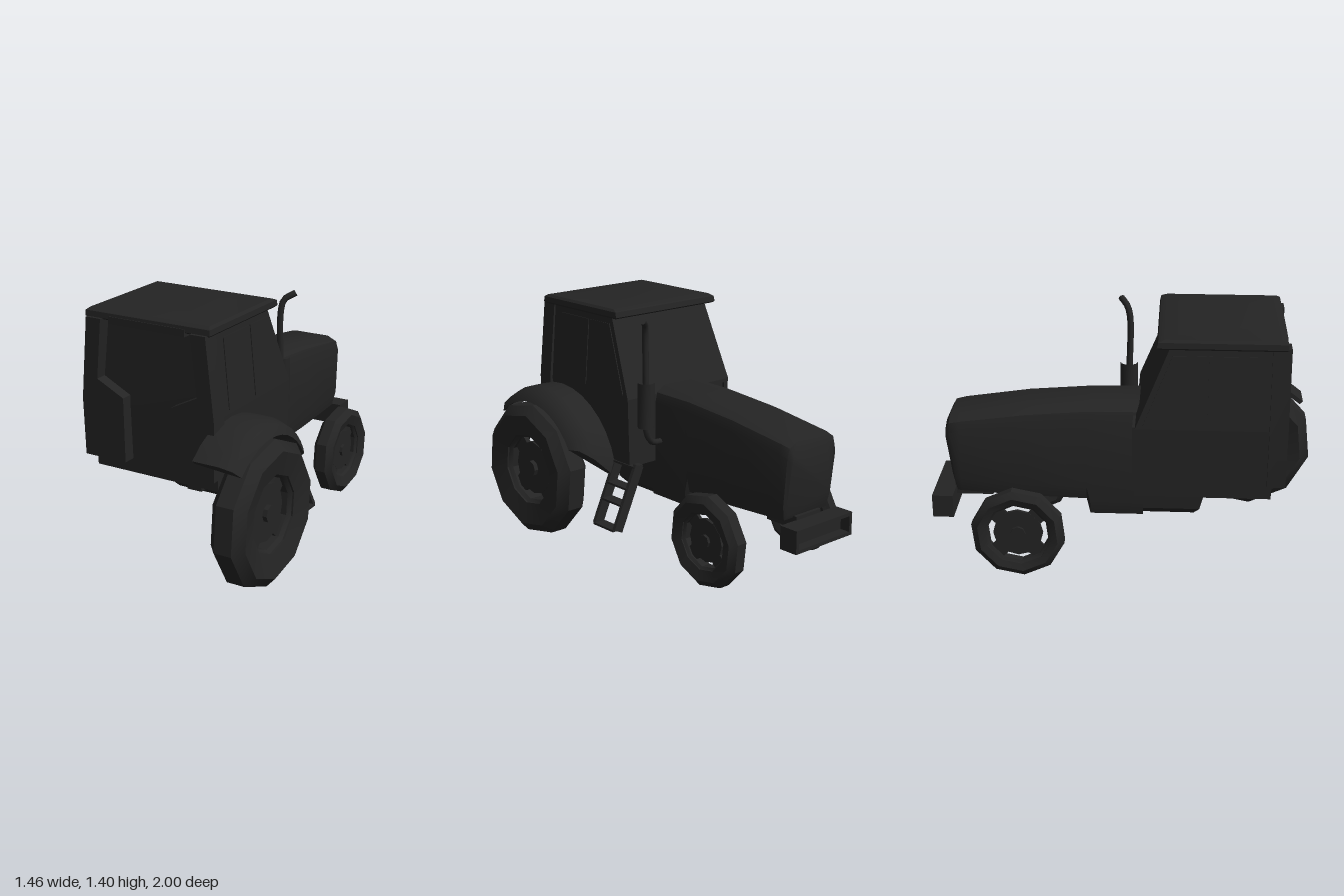
import * as THREE from 'three';
import { toCreasedNormals } from 'three/addons/utils/BufferGeometryUtils.js';

const paint = new THREE.MeshStandardMaterial({ color: 0x242424 });
paint.name = 'charcoal';
const MID = -0.167; // centre line of the tractor

function add(parent, name, geometry, x = 0, y = 0, z = 0, crease = 0.5) {
  const mesh = new THREE.Mesh(toCreasedNormals(geometry, crease), paint);
  mesh.name = name;
  mesh.position.set(x, y, z);
  parent.add(mesh);
  return mesh;
}

// box given by its limits
function block(parent, name, x0, x1, y0, y1, z0, z1) {
  return add(parent, name, new THREE.BoxGeometry(x1 - x0, y1 - y0, z1 - z0),
    (x0 + x1) / 2, (y0 + y1) / 2, (z0 + z1) / 2);
}

// skin over equal-length rings, with both ends closed
function loft(rings) {
  const n = rings[0].length, idx = [];
  for (let r = 0; r < rings.length - 1; r++) {
    for (let i = 0; i < n; i++) {
      const a = r * n + i, b = r * n + (i + 1) % n;
      idx.push(a, b, b + n, a, b + n, a + n);
    }
  }
  const e = (rings.length - 1) * n;
  for (let i = 1; i < n - 1; i++) idx.push(0, i + 1, i, e, e + i, e + i + 1);
  const g = new THREE.BufferGeometry();
  g.setAttribute('position', new THREE.Float32BufferAttribute(rings.flat(2), 3));
  g.setIndex(idx);
  return g;
}

// rectangular levels centred on the cab: [y, half width, front z, rear z]
const levels = list => loft(list.map(([y, w, f, r]) => [
  [MID - w, y, r], [MID + w, y, r], [MID + w, y, f], [MID - w, y, f]]));

function extrude(points, depth) {
  const shape = new THREE.Shape(points.map(p => new THREE.Vector2(p[0], p[1])));
  return new THREE.ExtrudeGeometry(shape, { depth, bevelEnabled: false });
}

function bar(parent, name, a, b, w, d) {
  const p = new THREE.Vector3(...a), q = new THREE.Vector3(...b);
  const m = add(parent, name, new THREE.BoxGeometry(w, p.distanceTo(q), d));
  m.position.copy(p).lerp(q, 0.5);
  m.quaternion.setFromUnitVectors(new THREE.Vector3(0, 1, 0), q.sub(p).normalize());
}

// faceted tyre, open rim, spokes and hub; side = direction of the outer face
function wheel(parent, name, R, ri, h, x, y, z, side) {
  const g = new THREE.Group();
  g.name = name;
  const lathe = pts => new THREE.LatheGeometry(
    pts.map(p => new THREE.Vector2(p[0], p[1])), 10, 0.2).rotateZ(-Math.PI / 2);
  add(g, 'tyre', lathe([[ri, -h * 0.7], [R * 0.86, -h], [R, -h * 0.5], [R, h * 0.5],
    [R * 0.86, h], [ri, h * 0.7], [ri, -h * 0.7]]));
  add(g, 'rim', lathe([[ri * 0.92, -h * 0.4], [ri, -h * 0.6], [ri, h * 0.6],
    [ri * 0.92, h * 0.4], [ri * 0.92, -h * 0.4]]));
  const disc = (r, l, n, off, label) => add(g, label,
    new THREE.CylinderGeometry(r, r, l, n).rotateZ(Math.PI / 2), side * off);
  disc(ri * 0.74, h * 0.35, 12, h * 0.1, 'wheelDisc');
  disc(ri * 0.22, h * 0.3, 8, h * 0.38, 'hub');
  for (let i = 0; i < 4; i++) {
    const a = Math.PI / 4 + i * Math.PI / 2;
    const s = add(g, 'spoke', new THREE.BoxGeometry(h * 0.3, ri * 0.35, ri * 0.5),
      side * h * 0.1, Math.cos(a) * ri * 0.8, Math.sin(a) * ri * 0.8);
    s.rotation.x = a;
  }
  g.position.set(x, y, z);
  parent.add(g);
}

export function createModel() {
  const model = new THREE.Group();
  model.name = 'tractor';
  const body = new THREE.Group();
  body.name = 'body';
  body.rotation.y = 0.227;
  model.add(body);

  // bonnet: [z, half width, bottom, shoulder, top, rearward slant of the bottom]
  const hood = [[0.14, 0.192, 0.29, 0.85, 0.937, 0], [-0.15, 0.193, 0.29, 0.85, 0.932, 0],
    [-0.17, 0.193, 0.38, 0.85, 0.931, 0], [-0.5, 0.193, 0.39, 0.82, 0.905, 0],
    [-0.86, 0.19, 0.41, 0.775, 0.853, 0], [-0.915, 0.182, 0.41, 0.76, 0.84, 0.03],
    [-0.935, 0.165, 0.43, 0.73, 0.805, 0.04]];
  add(body, 'bonnet', loft(hood.map(([z, w, b, s, t, d]) => [
    [-w * 0.9, b, d], [w * 0.9, b, d], [w, b + 0.08, d * 0.7], [w, s, 0], [w * 0.92, s + (t - s) * 0.65, 0],
    [w * 0.6, t, 0], [-w * 0.6, t, 0], [-w * 0.92, s + (t - s) * 0.65, 0], [-w, s, 0], [-w, b + 0.08, d * 0.7],
  ].map(([x, y, dz]) => [MID - 0.008 + x, y, z + dz]).reverse())), 0, 0, 0, 0.7);

  // front weight: shallow tray open to the front, with its bracket
  block(body, 'frontWeightBack', -0.4, 0.035, 0.27, 0.4, -0.96, -0.905);
  for (const y of [0.27, 0.38]) block(body, 'frontWeightFlange', -0.4, 0.035, y, y + 0.02, -1.02, -0.96);
  for (const x of [-0.4, 0.015]) block(body, 'frontWeightEnd', x, x + 0.02, 0.29, 0.38, -1.02, -0.96);
  block(body, 'frontBracket', -0.27, -0.08, 0.35, 0.42, -0.91, -0.7);

  // chassis tapering towards the belly, and hitch
  add(body, 'chassis', levels([[0.28, 0.13, 0.1, 0.42], [0.32, 0.165, 0.1, 0.45], [0.52, 0.18, 0.1, 0.5]]));
  block(body, 'hitch', -0.17, -0.08, 0.33, 0.42, 0.42, 0.53);

  // cab and gently domed roof
  add(body, 'cab', levels([[0.505, 0.378, 0.1, 0.82], [0.9, 0.388, 0.1, 0.83],
    [1.35, 0.35, 0.28, 0.82]]), 0, 0, 0, 0.1);
  add(body, 'roof', levels([[1.335, 0.365, 0.225, 0.86], [1.345, 0.376, 0.208, 0.875],
    [1.375, 0.374, 0.215, 0.872], [1.388, 0.36, 0.25, 0.85], [1.398, 0.2, 0.4, 0.7]]));
  block(body, 'rearLampBar', MID - 0.23, MID + 0.23, 1.32, 1.36, 0.8, 0.878);

  // stepped rear corner panels
  const panel = [[0.4, 0.585], [0.405, 0.9], [0.36, 1.345], [0.27, 1.345],
    [0.305, 1.02], [0.145, 0.94], [0.145, 0.585]];
  for (const s of [-1, 1]) {
    add(body, 'rearCornerPanel', extrude(panel.map(([x, y]) => [MID + s * x, y]), 0.097), 0, 0, 0.795);

    // door glass and rear quarter glass, leaning with the cab side
    const panes = [[[-0.14, 0.02], [-0.29, 0.4], [-0.46, 0.4], [-0.46, 0.02]],
      [[-0.475, 0.02], [-0.475, 0.4], [-0.72, 0.4], [-0.72, 0.02]]];
    for (const p of panes) {
      const g = extrude(p, 0.008).rotateY(Math.PI / 2).translate(-0.004, 0, 0);
      add(body, 'sideWindow', g, MID + s * 0.389, 0.9, 0).rotation.z = s * 0.084;
    }
  }

  // frame on the cab front beside the bonnet
  for (const x of [-0.53, -0.4]) block(body, 'frontFramePost', x, x + 0.02, 0.53, 0.9, 0.085, 0.105);
  for (const y of [0.53, 0.88]) block(body, 'frontFrameRail', -0.53, -0.38, y, y + 0.02, 0.085, 0.105);

  // rounded mudguard over the rear wheel: [x, radius], front edge cut back outwards
  const guard = [[0.2, 0.485], [0.35, 0.485], [0.42, 0.46], [0.452, 0.41],
    [0.44, 0.41], [0.405, 0.44], [0.34, 0.46], [0.2, 0.46]].reverse();
  const arch = [];
  for (let i = 0; i <= 12; i++) {
    arch.push(guard.map(([x, r]) => {
      const a0 = 0.02 + (x - 0.2) * 2, a = a0 + (2.32 - a0) * i / 12;
      return [x, 0.395 + Math.sin(a) * r, 0.705 - Math.cos(a) * r];
    }));
  }
  add(body, 'mudguard', loft(arch), 0, 0, 0, 0.7);

  // wheels
  wheel(body, 'rearWheel', 0.398, 0.215, 0.1, 0.41, 0.4, 0.715, 1);
  wheel(body, 'frontRightWheel', 0.262, 0.165, 0.062, 0.215, 0.262, -0.55, 1);
  wheel(body, 'frontLeftWheel', 0.257, 0.183, 0.048, -0.53, 0.262, -0.53, -1);

  // ladder to the door
  for (const z of [0.06, 0.235]) bar(body, 'ladderRail', [0.18, 0.52, z], [0.34, 0.165, z], 0.06, 0.022);
  for (const t of [0.02, 0.35, 0.6, 0.98]) {
    const x = 0.18 + 0.16 * t, y = 0.52 - 0.355 * t;
    block(body, 'ladderStep', x - 0.035, x + 0.035, y - 0.006, y + 0.006, 0.06, 0.235);
  }

  // exhaust: open silencer sleeve around a curved pipe
  add(body, 'silencerSleeve', new THREE.CylinderGeometry(0.05, 0.05, 0.26, 10, 1, true), 0.137, 0.87, 0.04, 0.8);
  const pipe = [[0.0, 0.63, 0.06], [0.09, 0.645, 0.05], [0.137, 0.72, 0.04], [0.137, 0.9, 0.04],
    [0.137, 1.26, 0.045], [0.15, 1.325, 0.03], [0.2, 1.36, -0.008]];
  add(body, 'exhaustPipe', new THREE.TubeGeometry(
    new THREE.CatmullRomCurve3(pipe.map(p => new THREE.Vector3(...p))), 28, 0.018, 8), 0, 0, 0, 1.2);
  return model;
}
